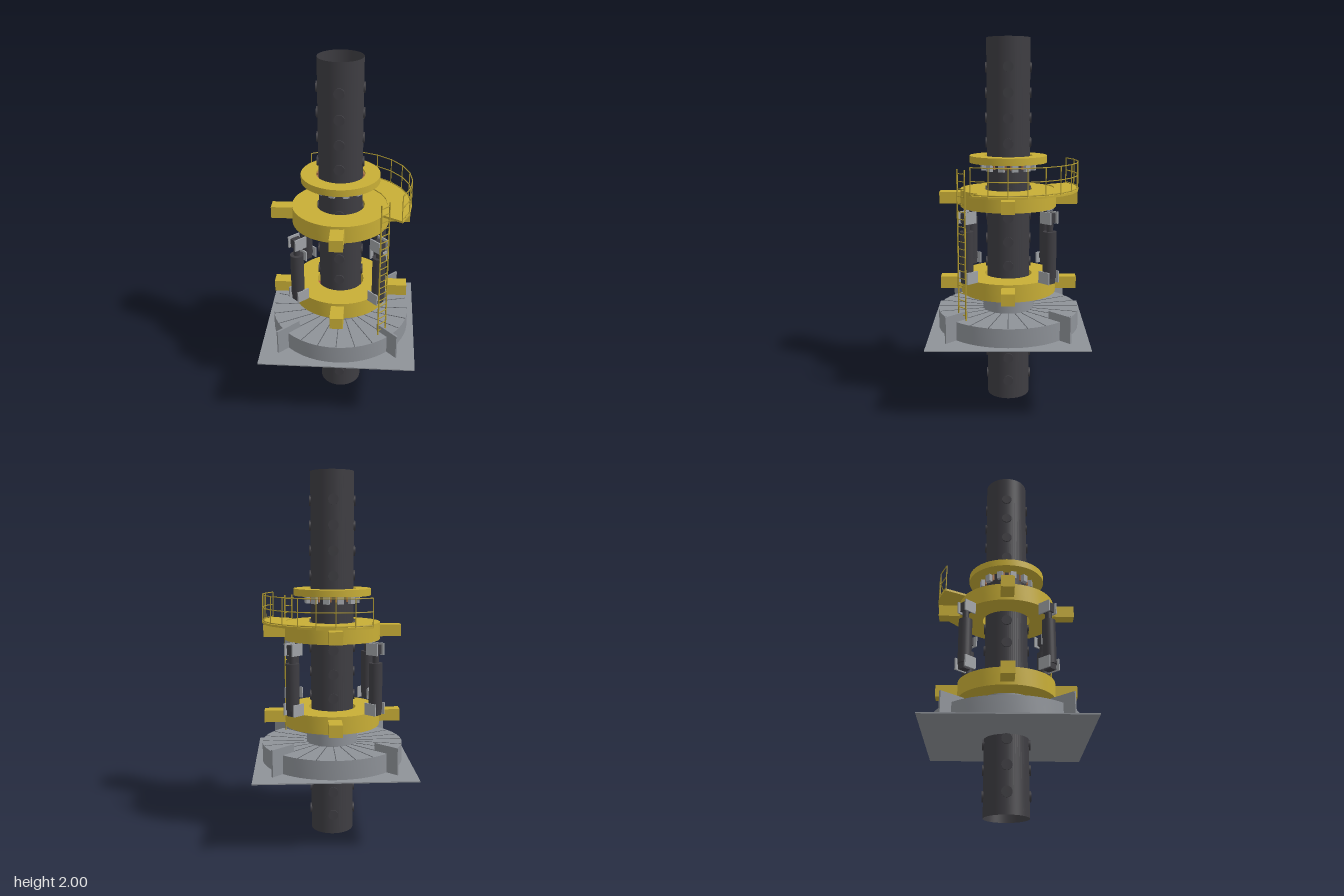
import * as THREE from 'three';
import { toCreasedNormals } from 'three/addons/utils/BufferGeometryUtils.js';

const mat = (name, color, side = THREE.FrontSide) => {
  const m = new THREE.MeshStandardMaterial({ color, side });
  m.name = name;
  return m;
};

export function createModel() {
  const model = new THREE.Group();
  model.name = 'jackingLeg';
  const yellow = mat('yellowPaint', 0xc8ae36);
  const rail = mat('railYellow', 0xb09a30);
  const grey = mat('deckGrey', 0x8e9298);
  const seam = mat('seamGrey', 0x5c5f64);
  const light = mat('bracketGrey', 0x9fa2a6);
  const dark = mat('darkSteel', 0x3e3d42, THREE.DoubleSide);
  const red = mat('pinRed', 0xb5524a);
  const bronze = mat('bronze', 0xa8724a);

  const add = (name, geo, material, x = 0, y = 0, z = 0, parent = model) => {
    const m = new THREE.Mesh(geo, material);
    m.name = name;
    m.position.set(x, y, z);
    parent.add(m);
    return m;
  };
  const box = (w, h, d) => new THREE.BoxGeometry(w, h, d);
  const cyl = (r, h, n = 24) => new THREE.CylinderGeometry(r, r, h, n);
  // flat ring with a square cross-section
  const ring = (ri, ro, y0, y1) => toCreasedNormals(new THREE.LatheGeometry(
    [[ri, y0], [ro, y0], [ro, y1], [ri, y1], [ri, y0]].map(p => new THREE.Vector2(...p)), 64), 0.6);
  // group whose +x axis points outward at the given angle about y
  const spoke = (name, angle) => {
    const g = new THREE.Group();
    g.name = name;
    g.rotation.y = angle;
    model.add(g);
    return g;
  };
  // thin round bar between two points
  const bar = (name, a, b, r, material, parent) => {
    const m = add(name, cyl(r, a.distanceTo(b), 6), material, 0, 0, 0, parent);
    m.position.copy(a).add(b).multiplyScalar(0.5);
    m.quaternion.setFromUnitVectors(new THREE.Vector3(0, 1, 0), b.clone().sub(a).normalize());
  };

  // Hollow leg with four columns of pin holes
  add('legTube', new THREE.CylinderGeometry(0.118, 0.118, 2, 64, 1, true), dark, 0, 1, 0);
  const holeGeo = new THREE.CylinderGeometry(0.028, 0.028, 0.012, 24);
  holeGeo.rotateZ(Math.PI / 2);
  for (let k = 0; k < 4; k++) {
    const g = spoke('pinHoles', k * Math.PI / 2);
    for (let i = 0; i < 14; i++) add('pinHole', holeGeo, dark, 0.119, 0.11 + i * 0.1335, 0, g);
  }

  // Deck plate, drum and hub
  add('deckPlate', box(0.864, 0.006, 0.864), grey, 0, 0.406, 0);
  add('drum', ring(0.12, 0.395, 0.408, 0.512), grey);
  add('hub', ring(0.12, 0.143, 0.512, 0.617), grey);
  for (let i = 0; i < 24; i++) {
    add('drumSeam', box(0.25, 0.002, 0.004), seam, 0.268, 0.5125, 0, spoke('seamSpoke', i * Math.PI / 12));
  }
  for (let k = 0; k < 4; k++) {
    add('gusset', box(0.155, 0.147, 0.01), grey, 0.39, 0.4815, 0, spoke('gussetSpoke', Math.PI / 4 + k * Math.PI / 2));
  }

  // Two yoke rings with arms and locking pins
  const pinGeo = cyl(0.0175, 0.05, 20);
  pinGeo.rotateZ(Math.PI / 2);
  for (const y of [0.662, 1.143]) {
    add('yokeRing', ring(0.132, 0.265, y - 0.048, y + 0.048), yellow);
    for (let k = 0; k < 4; k++) {
      const g = spoke('yokeSpoke', k * Math.PI / 2);
      add('yokeArm', box(0.13, 0.066, 0.072), yellow, 0.315, y, 0, g);
      add('lockingPin', pinGeo, red, 0.116, y, 0, g);
    }
  }

  // Top collar with guide pads and brackets
  add('topCollar', ring(0.132, 0.213, 1.337, 1.375), yellow);
  for (let k = 0; k < 12; k++) {
    const g = spoke('collarSpoke', (k + 0.5) * Math.PI / 6);
    add('collarBracket', box(0.022, 0.042, 0.032), light, 0.141, 1.316, 0, g);
    add('guidePad', box(0.01, 0.06, 0.045), bronze, 0.126, 1.335, 0, g);
  }

  // Hydraulic jacks on the diagonals
  for (let k = 0; k < 4; k++) {
    const g = spoke('jack', Math.PI / 4 + k * Math.PI / 2);
    add('jackBody', cyl(0.036, 0.25), dark, 0.311, 0.867, 0, g);
    add('jackRod', cyl(0.018, 0.09), dark, 0.311, 1.03, 0, g);
    add('topLug', box(0.05, 0.05, 0.034), dark, 0.311, 1.065, 0, g);
    add('bottomLug', box(0.05, 0.05, 0.04), dark, 0.311, 0.735, 0, g);
    for (const s of [-1, 1]) {
      add('topClevis', box(0.074, 0.064, 0.008), light, 0.306, 1.066, s * 0.028, g);
      add('bottomClevis', box(0.074, 0.064, 0.008), light, 0.306, 0.744, s * 0.037, g);
    }
  }

  // Faceted walkway around three fifths of the upper yoke
  const polar = (r, a, y) => new THREE.Vector3(r * Math.cos(a), y, -r * Math.sin(a));
  const steps = 10, start = -Math.PI / 6, step = Math.PI / 12;
  const deck = new THREE.Shape();
  for (let i = 0; i <= steps; i++) {
    const a = start + i * step;
    deck[i ? 'lineTo' : 'moveTo'](0.388 * Math.cos(a), 0.388 * Math.sin(a));
  }
  for (let i = steps; i >= 0; i--) {
    const a = start + i * step;
    deck.lineTo(0.255 * Math.cos(a), 0.255 * Math.sin(a));
  }
  const deckGeo = new THREE.ExtrudeGeometry(deck, { depth: 0.012, bevelEnabled: false });
  deckGeo.rotateX(-Math.PI / 2);
  add('walkway', deckGeo, yellow, 0, 1.186, 0);

  // Guard rail along the outer edge
  const guard = new THREE.Group();
  guard.name = 'guardRail';
  model.add(guard);
  for (let i = 0; i <= steps; i++) {
    const a = start + i * step;
    bar('railPost', polar(0.384, a, 1.19), polar(0.384, a, 1.342), 0.003, rail, guard);
    if (i === steps) continue;
    for (const y of [1.203, 1.272, 1.342]) {
      bar('railBar', polar(0.384, a, y), polar(0.384, a + step, y), 0.003, rail, guard);
    }
  }

  // Ladder at the front left corner
  const ladder = spoke('ladder', -Math.PI / 4);
  for (const s of [-1, 1]) add('ladderRail', box(0.006, 0.81, 0.006), rail, 0.347, 0.917, s * 0.029, ladder);
  for (let i = 0; i < 20; i++) add('ladderRung', box(0.004, 0.004, 0.058), rail, 0.347, 0.54 + i * 0.04, 0, ladder);

  return model;
}
